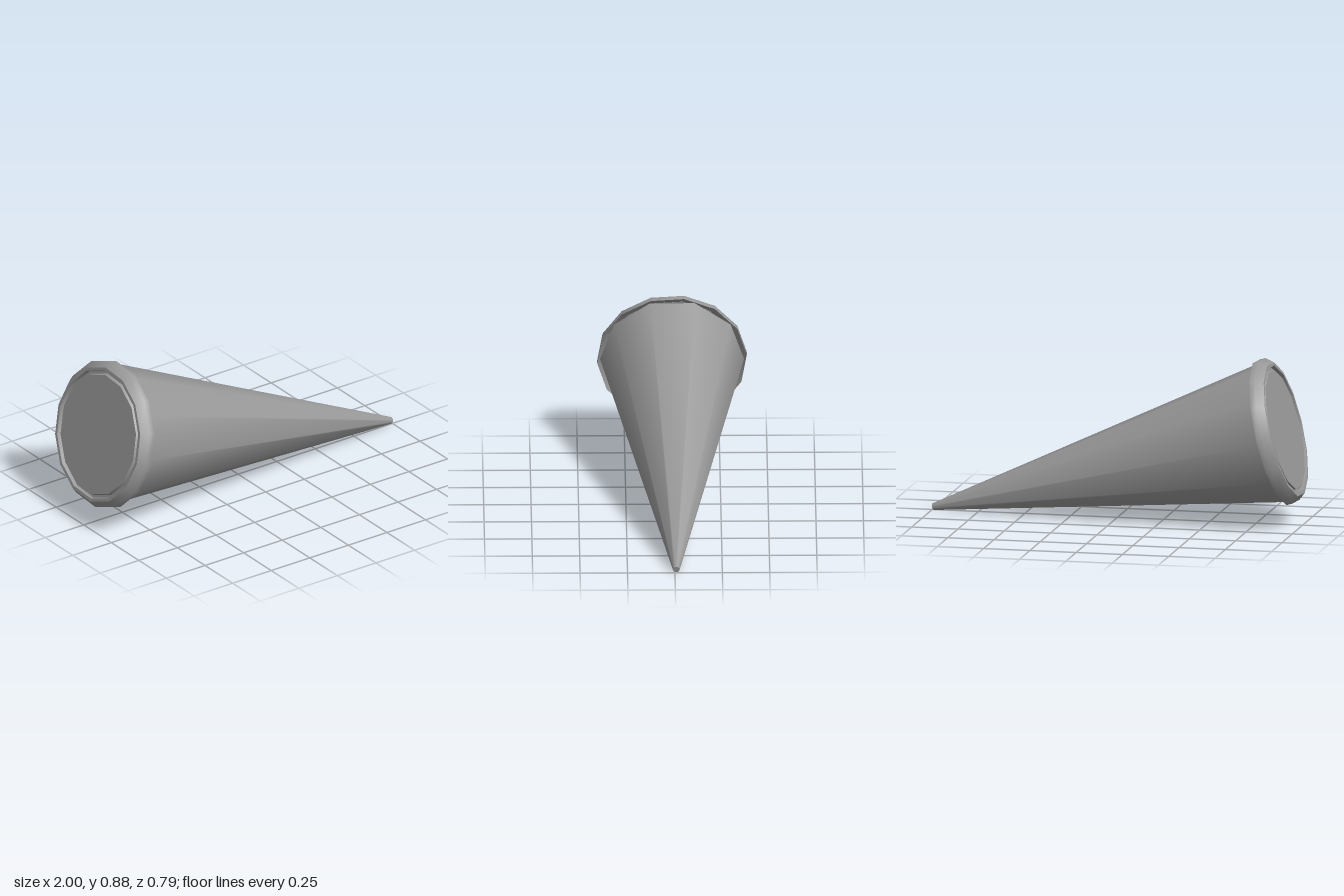
import * as THREE from 'three';
import { toCreasedNormals } from 'three/addons/utils/BufferGeometryUtils.js';

export function createModel() {
  const group = new THREE.Group();
  group.name = 'cone';
  const material = new THREE.MeshStandardMaterial({ color: 0x999999, side: THREE.DoubleSide });

  // The cone lies tipped over, from its wide mouth to its tip near the ground
  const mouth = new THREE.Vector3(-0.845, 0.495, 0);
  const tip = new THREE.Vector3(0.995, 0.018, -0.007);
  const axis = tip.clone().sub(mouth);
  const length = axis.length();

  const tilted = new THREE.Group();
  tilted.name = 'tiltedCone';
  tilted.position.copy(mouth);
  tilted.quaternion.setFromUnitVectors(new THREE.Vector3(0, 1, 0), axis.normalize());
  group.add(tilted);

  // Ten-sided body with smooth sides
  const body = new THREE.Mesh(new THREE.CylinderGeometry(0.018, 0.38, length, 10), material);
  body.name = 'coneBody';
  body.position.y = length / 2;
  tilted.add(body);

  // Fourteen-sided rim: [radius, distance along the axis]
  const profile = [
    [0, -0.063], [0.322, -0.063], [0.328, -0.045], // mouth disc
    [0.343, -0.045], [0.346, -0.067], [0.363, -0.067], // groove and end edge
    [0.395, -0.027], [0.395, 0.003], // bevel and outer band
    [0.345, -0.043], // inside of the flared lip
  ].map(([r, y]) => new THREE.Vector2(r, y));
  const rim = new THREE.Mesh(
    toCreasedNormals(new THREE.LatheGeometry(profile, 14, 0.07), 0.8), material);
  rim.name = 'rim';
  tilted.add(rim);

  return group;
}
